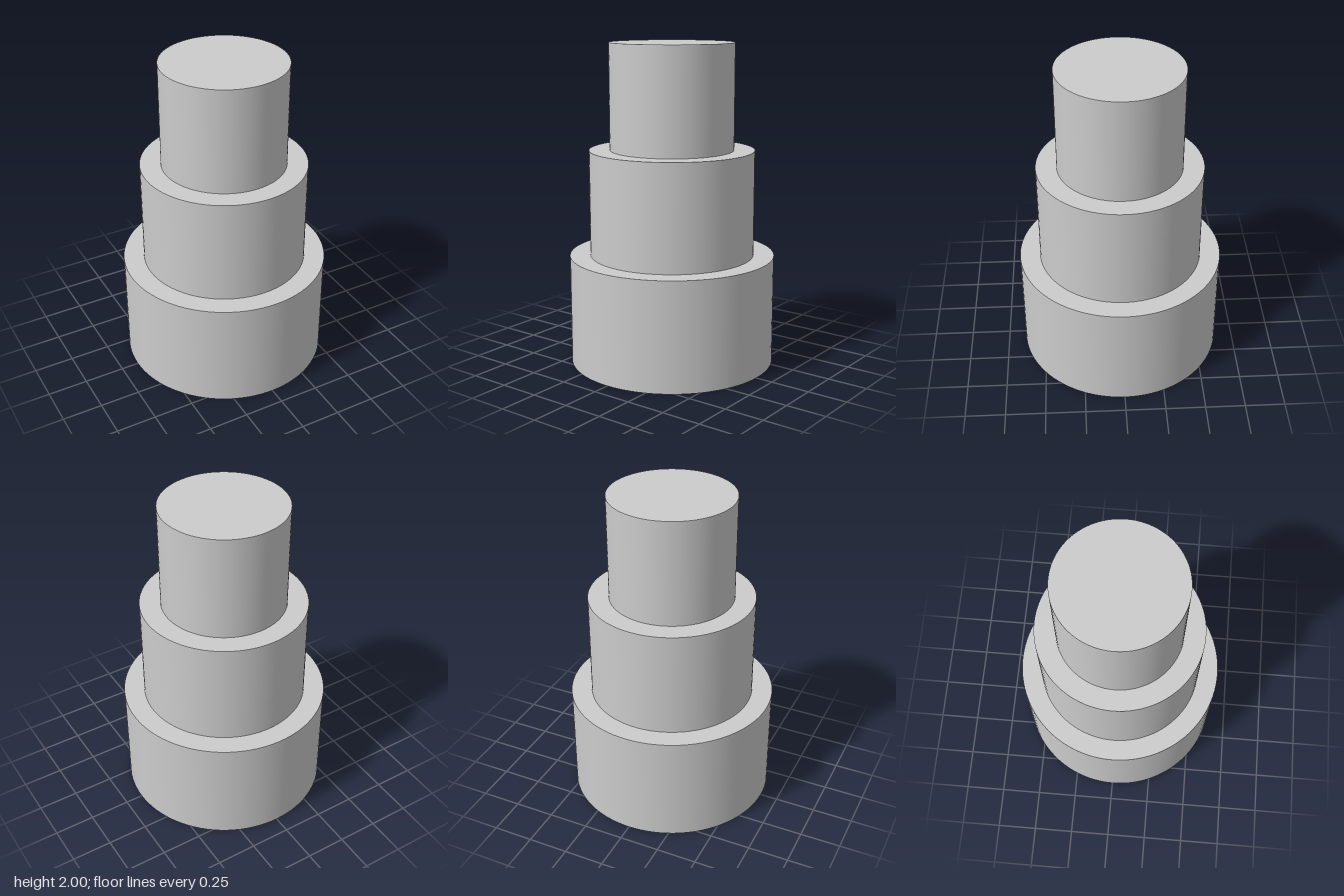
import * as THREE from 'three';

export function createModel() {
  const group = new THREE.Group();
  group.name = 'steppedTower';
  const material = new THREE.MeshStandardMaterial({ color: 0xcccccc });

  // Three stacked round tiers, each narrower than the one below
  const tiers = [
    { name: 'bottomTier', radius: 0.64, base: 0, top: 0.685 },
    { name: 'middleTier', radius: 0.512, base: 0.685, top: 1.345 },
    { name: 'topTier', radius: 0.384, base: 1.345, top: 2 },
  ];
  for (const { name, radius, base, top } of tiers) {
    const tier = new THREE.Mesh(new THREE.CylinderGeometry(radius, radius, top - base, 96), material);
    tier.name = name;
    tier.position.y = (base + top) / 2;
    group.add(tier);
  }
  return group;
}
